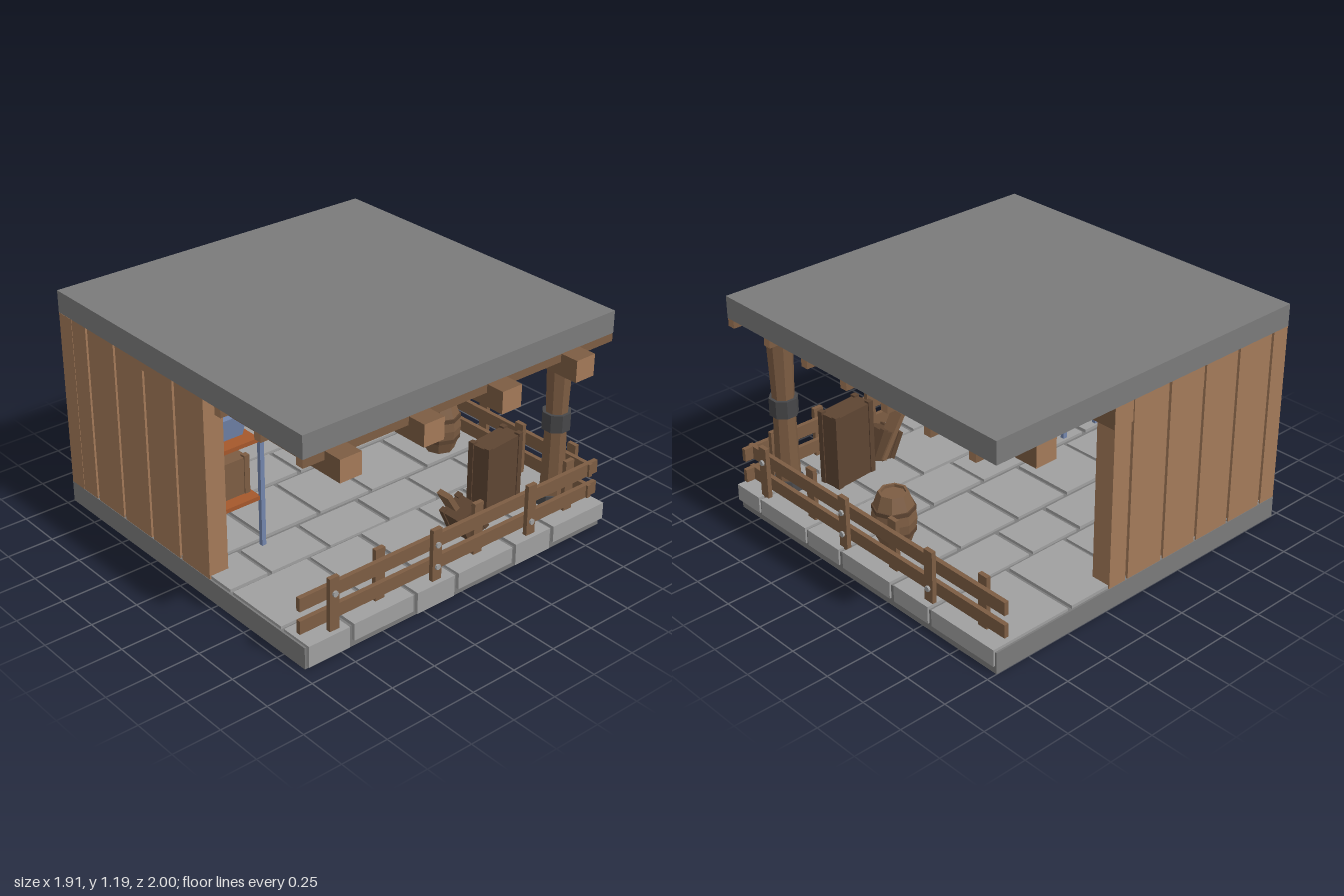
import * as THREE from 'three';

const mat = (name, color) => {
  const m = new THREE.MeshStandardMaterial({ color, flatShading: true });
  m.name = name;
  return m;
};
const M = {
  slate: mat('slate grey', 0x7b7b7b),
  stone: mat('pale stone', 0xa0a0a0),
  plank: mat('light plank', 0xa47a59),
  timber: mat('timber brown', 0x7d5d43),
  dark: mat('dark crate wood', 0x5e4532),
  iron: mat('iron', 0x474749),
  blue: mat('blue steel', 0x7386ad),
  shelf: mat('orange shelf wood', 0xa5582c),
};

export function createModel() {
  const root = new THREE.Group();
  root.name = 'openShed';

  const add = (name, geo, material, x, y, z, parent = root) => {
    const m = new THREE.Mesh(geo, material);
    m.name = name;
    m.position.set(x, y, z);
    parent.add(m);
    return m;
  };
  // Box given by its extents on each axis
  const span = (name, material, x0, x1, y0, y1, z0, z1, parent = root) =>
    add(name, new THREE.BoxGeometry(x1 - x0, y1 - y0, z1 - z0), material,
      (x0 + x1) / 2, (y0 + y1) / 2, (z0 + z1) / 2, parent);
  const group = (name) => {
    const g = new THREE.Group();
    g.name = name;
    root.add(g);
    return g;
  };

  // Roof and base slabs
  span('roofSlab', M.slate, -0.96, 0.945, 1.073, 1.19, -1, 0.9);
  span('baseSlab', M.slate, -0.96, 0.945, 0, 0.115, -1, 0.9);

  // Roof beams and cross battens, with lighter cut ends
  const T = M.timber, P = M.plank;
  for (const x of [-0.78, -0.305, 0.17, 0.65])
    span('roofBeam', [T, T, T, T, P, P], x - 0.06, x + 0.06, 0.96, 1.074, -0.995, 1);
  for (let i = 0; i < 7; i++) {
    const z = 0.877 - i * 0.288;
    span('roofBatten', [P, P, T, T, T, T], -0.958, 0.943, 1.03, 1.074, z - 0.022, z + 0.022);
  }

  // Paving in staggered rows; the outer stones overhang the front and right edges
  const paving = group('paving');
  const rows = [[0.74, 0.918], [0.36, 0.72], [0.1, 0.34], [-0.28, 0.07], [-0.55, -0.31], [-0.99, -0.575]];
  const cuts = [
    [-0.95, -0.7, -0.315, -0.055, 0.325, 0.585, 0.955],
    [-0.95, -0.5, -0.18, 0.2, 0.5, 0.955],
    [-0.95, -0.72, -0.36, 0.02, 0.36, 0.68, 0.955],
    [-0.95, -0.55, -0.2, 0.14, 0.52, 0.955],
    [-0.95, -0.75, -0.4, -0.02, 0.3, 0.66, 0.955],
    [-0.95, -0.6, -0.25, 0.1, 0.48, 0.955],
  ];
  rows.forEach(([z0, z1], r) => {
    const c = cuts[r];
    for (let i = 0; i < c.length - 1; i++) {
      const low = (i + r) % 2 ? 0.04 : 0.015;
      span('pavingStone', M.stone, c[i] + (i ? 0.013 : 0), c[i + 1] - (i < c.length - 2 ? 0.013 : 0),
        low, 0.128 + ((i * 2 + r) % 3) * 0.002, z0, z1, paving);
    }
  });

  // Plank walls: darker core showing in the seams
  const backWall = group('backWall'), sideWall = group('sideWall');
  span('wallCore', T, -0.945, 0.215, 0.115, 1.073, -0.985, -0.905, backWall);
  span('wallCore', T, -0.945, -0.865, 0.115, 1.073, -0.985, 0.175, sideWall);
  const planks = (edges, make) => {
    for (let i = 0; i < edges.length - 1; i++)
      make(edges[i] + (i ? 0.009 : 0), edges[i + 1] - (i < edges.length - 2 ? 0.009 : 0));
  };
  planks([-0.96, -0.85, -0.605, -0.367, -0.129, 0.115, 0.23], (a, b) =>
    span('wallPlank', P, a, b, 0.115, 1.072, -0.998, -0.89, backWall));
  planks([-0.89, -0.76, -0.52, -0.28, -0.04, 0.19], (a, b) =>
    span('wallPlank', P, -0.958, -0.85, 0.115, 1.072, a, b, sideWall));

  // Corner post, narrowest at the middle band
  const oct = (r0, r1, h) => new THREE.CylinderGeometry(r1 / 0.924, r0 / 0.924, h, 8).rotateY(Math.PI / 8);
  const post = group('cornerPost');
  post.position.set(0.77, 0, 0.732);
  add('postLower', oct(0.062, 0.053, 0.47), T, 0, 0.365, 0, post);
  add('postUpper', oct(0.052, 0.066, 0.45), T, 0, 0.825, 0, post);
  add('postMiddleBand', oct(0.069, 0.069, 0.095), M.iron, 0, 0.6, 0, post);
  add('postTopBand', oct(0.082, 0.082, 0.044), M.iron, 0, 1.052, 0, post);
  add('postFoot', oct(0.08, 0.07, 0.06), M.iron, 0, 0.16, 0, post);

  // Fence built along local x, outer side facing local +z
  const fence = (name, x0, x1, posts, bolts) => {
    const g = group(name);
    for (const y of [0.205, 0.325])
      span('fenceRail', T, x0, x1, y - 0.035, y + 0.035, -0.012, 0.012, g);
    posts.forEach((x, i) => {
      const z = i % 2 ? -0.024 : 0.024;
      span('fencePost', T, x - 0.028, x + 0.028, 0.12, 0.408, z - 0.012, z + 0.012, g);
    });
    for (const [x, y] of bolts)
      add('fenceBolt', new THREE.CylinderGeometry(0.015, 0.015, 0.012, 8).rotateX(Math.PI / 2), M.stone, x, y, 0.041, g);
    return g;
  };
  fence('frontFence', -0.96, 0.945, [-0.78, -0.47, -0.16, 0.15, 0.46, 0.77],
    [[-0.78, 0.325], [-0.16, 0.325], [-0.16, 0.205], [0.46, 0.205]]).position.z = 0.856;
  const sideFence = fence('rightFence', -0.88, 1, [-0.73, -0.41, -0.1, 0.21, 0.52, 0.83],
    [[-0.73, 0.325], [-0.1, 0.325], [-0.1, 0.205], [0.52, 0.205]]);
  sideFence.rotation.y = Math.PI / 2;
  sideFence.position.x = 0.885;

  // Hanging lamp
  const lamp = group('hangingLamp');
  lamp.position.set(-0.005, 0, -0.045);
  add('lampShade', new THREE.CylinderGeometry(0.018, 0.115, 0.058, 10), M.stone, 0, 0.952, 0, lamp);
  add('lampRod', new THREE.CylinderGeometry(0.008, 0.008, 0.1, 6), M.blue, 0, 1.025, 0, lamp);
  add('lampBulb', new THREE.CylinderGeometry(0.026, 0.014, 0.03, 6), M.shelf, 0, 0.91, 0, lamp);

  // Two shelf racks against the side wall
  const rack = (name, z0, z1, top, levels) => {
    const g = group(name);
    for (const x of [-0.832, -0.593]) for (const z of [z0, z1])
      span('rackUpright', M.blue, x - 0.012, x + 0.012, 0.125, top, z - 0.011, z + 0.011, g);
    for (const y of levels)
      span('rackShelf', M.shelf, -0.825, -0.6, y - 0.011, y + 0.011, z0, z1, g);
  };
  rack('frontRack', -0.33, 0.125, 0.84, [0.395, 0.71]);
  rack('backRack', -0.81, -0.355, 0.79, [0.215, 0.47, 0.66]);

  // Goods on the racks
  const bucket = new THREE.CylinderGeometry(0.118, 0.092, 0.115, 4).rotateY(Math.PI / 4);
  add('bucket', bucket, M.blue, -0.705, 0.779, -0.015);
  span('greyBox', M.stone, -0.79, -0.63, 0.481, 0.58, -0.77, -0.51);
  span('blueBox', M.blue, -0.78, -0.65, 0.226, 0.32, -0.74, -0.59);

  // Crates: panelled box with raised corner battens
  const crate = (name, material, w, h, d) => {
    const g = group(name);
    span('crateBody', material, -w / 2, w / 2, 0, h - 0.01, -d / 2, d / 2, g);
    for (const sx of [-1, 1]) for (const sz of [-1, 1])
      add('crateCorner', new THREE.BoxGeometry(0.03, h, 0.03), material,
        sx * (w / 2 - 0.01), h / 2, sz * (d / 2 - 0.01), g);
    return g;
  };
  crate('rackCrate', T, 0.18, 0.205, 0.18).position.set(-0.71, 0.406, -0.03);
  const tall = crate('tallCrate', M.dark, 0.25, 0.41, 0.12);
  tall.position.set(0.49, 0.13, 0.6);
  tall.rotation.y = 0.1;
  const tipped = crate('tippedCrate', M.dark, 0.13, 0.17, 0.14);
  tipped.position.set(0.27, 0.13, 0.66);
  tipped.rotation.z = 0.45;
  const board = span('leaningBoard', T, -0.014, 0.014, -0.13, 0.13, -0.04, 0.04);
  board.position.set(0.2, 0.25, 0.62);
  board.rotation.z = 0.55;

  // Barrel with iron hoops
  const barrel = group('barrel');
  barrel.position.set(0.71, 0.13, -0.03);
  const profile = [[0, 0], [0.078, 0], [0.105, 0.08], [0.112, 0.14], [0.105, 0.2], [0.075, 0.285], [0.062, 0.285], [0.062, 0.27], [0, 0.27]]
    .map(([x, y]) => new THREE.Vector2(x, y));
  add('barrelBody', new THREE.LatheGeometry(profile, 8), T, 0, 0, 0, barrel);
  for (const y of [0.08, 0.2])
    add('barrelHoop', new THREE.CylinderGeometry(0.109, 0.109, 0.022, 8), M.dark, 0, y, 0, barrel);

  return root;
}
